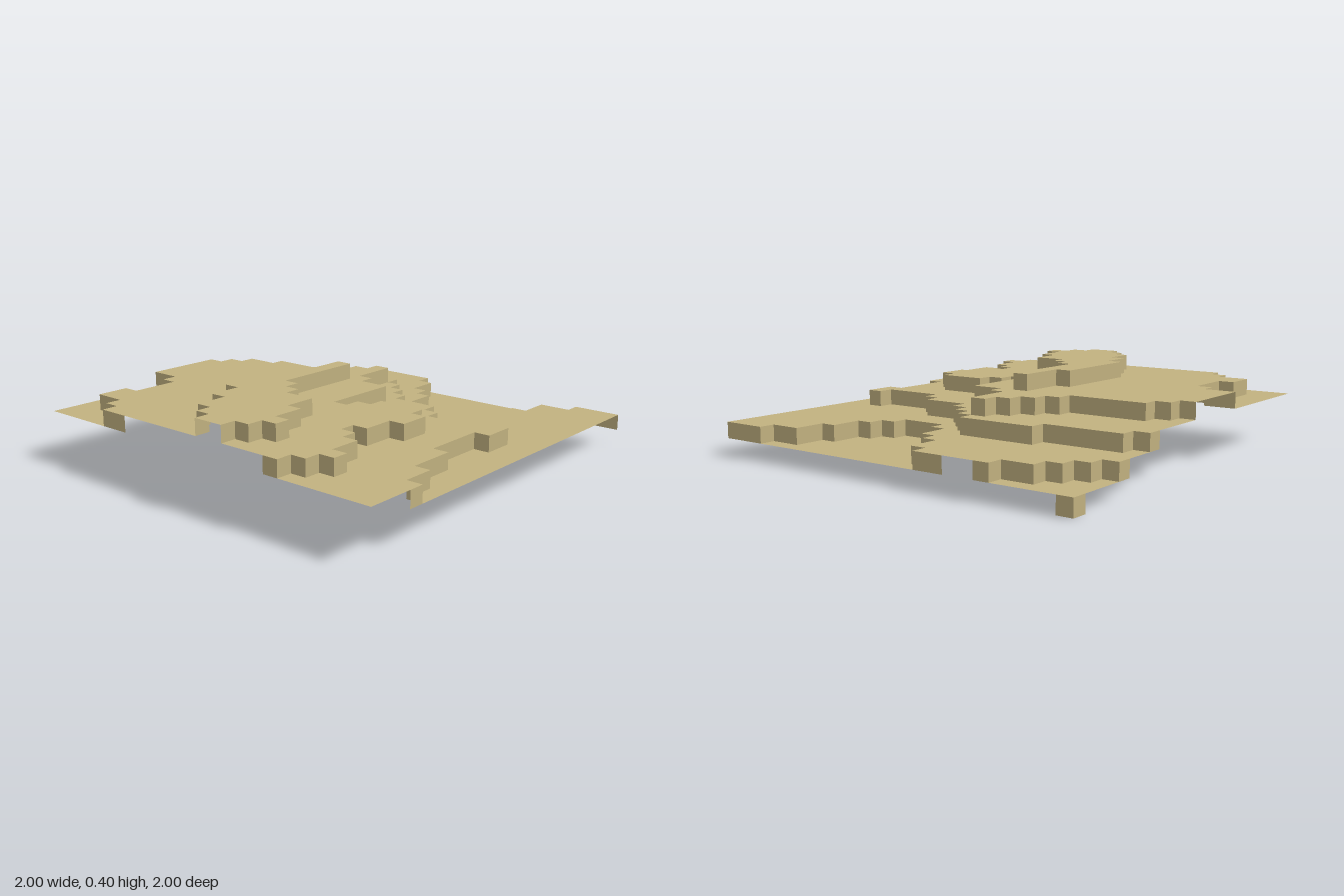
import * as THREE from 'three';

const N = 25, S = 0.08; // cells per side, cell size
const sand = new THREE.MeshStandardMaterial({ color: 0xc2b280, side: THREE.DoubleSide });
sand.name = 'sand';

// Terrace outlines in cells; every second corner is listed, the rest follow at right angles.
const lowCorner = [[0, 0], [5, 1], [3, 2], [2, 3], [1, 4]];
const lowValley = [[10, 0], [22, 1], [20, 3], [19, 5], [18, 6], [17, 7], [14, 6], [13, 4], [12, 3], [11, 1]];
const middle = [[0, 7], [1, 6], [6, 5], [11, 6], [12, 7], [13, 8], [14, 9], [17, 10], [18, 11], [22, 10],
  [23, 12], [22, 16], [23, 19], [24, 21], [25, 25]];
const upper = [[0, 12], [1, 11], [2, 10], [7, 9], [8, 8], [9, 7], [10, 6], [11, 9], [12, 10], [14, 15],
  [15, 14], [16, 13], [19, 14], [20, 16], [19, 18], [18, 19], [19, 20], [20, 22], [21, 23], [20, 24],
  [19, 25], [5, 24], [4, 23], [2, 21], [3, 18], [2, 17]];
const summit = [[10, 10], [11, 16], [12, 17], [13, 18], [15, 20], [16, 22], [17, 23], [16, 24], [15, 25],
  [13, 24], [12, 23], [11, 21], [10, 19], [9, 13]];

// Is the middle of cell (i, k) inside an outline? Counts the upright edges to its right.
function inside(outline, i, k) {
  let hit = false;
  outline.forEach(([, z], n) => {
    const [x, z2] = outline[(n + 1) % outline.length];
    if ((z > k) !== (z2 > k) && x > i) hit = !hit;
  });
  return hit;
}

function levelAt(i, k) {
  if (inside(summit, i, k)) return 5;
  if (inside(upper, i, k)) return 4;
  if (inside(middle, i, k)) return 3;
  return inside(lowCorner, i, k) || inside(lowValley, i, k) ? 1 : 2;
}

// Mesh from quads given as four corners in cell units
function quadMesh(name, quads) {
  const pos = [];
  for (const q of quads) {
    for (const c of [0, 1, 2, 0, 2, 3]) {
      const [x, y, z] = q[c];
      pos.push(x * S - 1, y * S, z * S - 1);
    }
  }
  const geo = new THREE.BufferGeometry();
  geo.setAttribute('position', new THREE.Float32BufferAttribute(pos, 3));
  geo.computeVertexNormals();
  const mesh = new THREE.Mesh(geo, sand);
  mesh.name = name;
  return mesh;
}

// Upright quad; its front is on the right hand when walking from (x1, z1) to (x2, z2) seen from above
const wall = (x1, z1, x2, z2, y1, y2) =>
  [[x1, y1, z1], [x1, y2, z1], [x2, y2, z2], [x2, y1, z2]];

export function createModel() {
  const group = new THREE.Group();
  group.name = 'terrain';
  const tops = [[], [], [], [], [], []];
  const risers = [];

  for (let i = 0; i < N; i++) {
    for (let k = 0; k < N; k++) {
      const h = levelAt(i, k);
      tops[h].push([[i, h, k], [i, h, k + 1], [i + 1, h, k + 1], [i + 1, h, k]]);
      // steps to the next cell along x and along z, facing the lower side
      if (i + 1 < N) {
        const n = levelAt(i + 1, k);
        if (n < h) risers.push(wall(i + 1, k, i + 1, k + 1, n, h).reverse());
        if (n > h) risers.push(wall(i + 1, k, i + 1, k + 1, h, n));
      }
      if (k + 1 < N) {
        const n = levelAt(i, k + 1);
        if (n < h) risers.push(wall(i, k + 1, i + 1, k + 1, n, h));
        if (n > h) risers.push(wall(i, k + 1, i + 1, k + 1, h, n).reverse());
      }
    }
  }

  // Terraces
  const names = ['', 'lowGround', 'backGround', 'middleTerrace', 'upperTerrace', 'summit'];
  for (let h = 1; h <= 5; h++) group.add(quadMesh(names[h], tops[h]));
  group.add(quadMesh('terraceSteps', risers));

  // Short drops along the outer rim
  const rim = [];
  for (const [a, b, y] of [[0, 1, 0], [5, 6, 1], [8, 10, 1], [22, 25, 1]]) rim.push(wall(b, 0, a, 0, y, y + 1));
  for (const [a, b, y] of [[0, 1, 0], [4, 5, 1], [7, 8, 2]]) rim.push(wall(0, a, 0, b, y, y + 1));
  for (const [a, b, y] of [[5, 7, 3], [18, 19, 3]]) rim.push(wall(a, N, b, N, y, y + 1));
  rim.push(wall(N, 22, N, 21, 2, 3));
  // wall() winds clockwise, so turn every rim piece to face outwards
  const outward = rim.map((q) => {
    const [a, b, c] = q.map((p) => new THREE.Vector3(...p));
    const normal = b.clone().sub(a).cross(c.clone().sub(a));
    const out = a.add(c).multiplyScalar(0.5).sub(new THREE.Vector3(N / 2, 0, N / 2));
    const edge = Math.abs(normal.x) > Math.abs(normal.z) ? normal.x * out.x : normal.z * out.z;
    return edge < 0 ? q.reverse() : q;
  });
  group.add(quadMesh('rimDrops', outward));
  return group;
}
